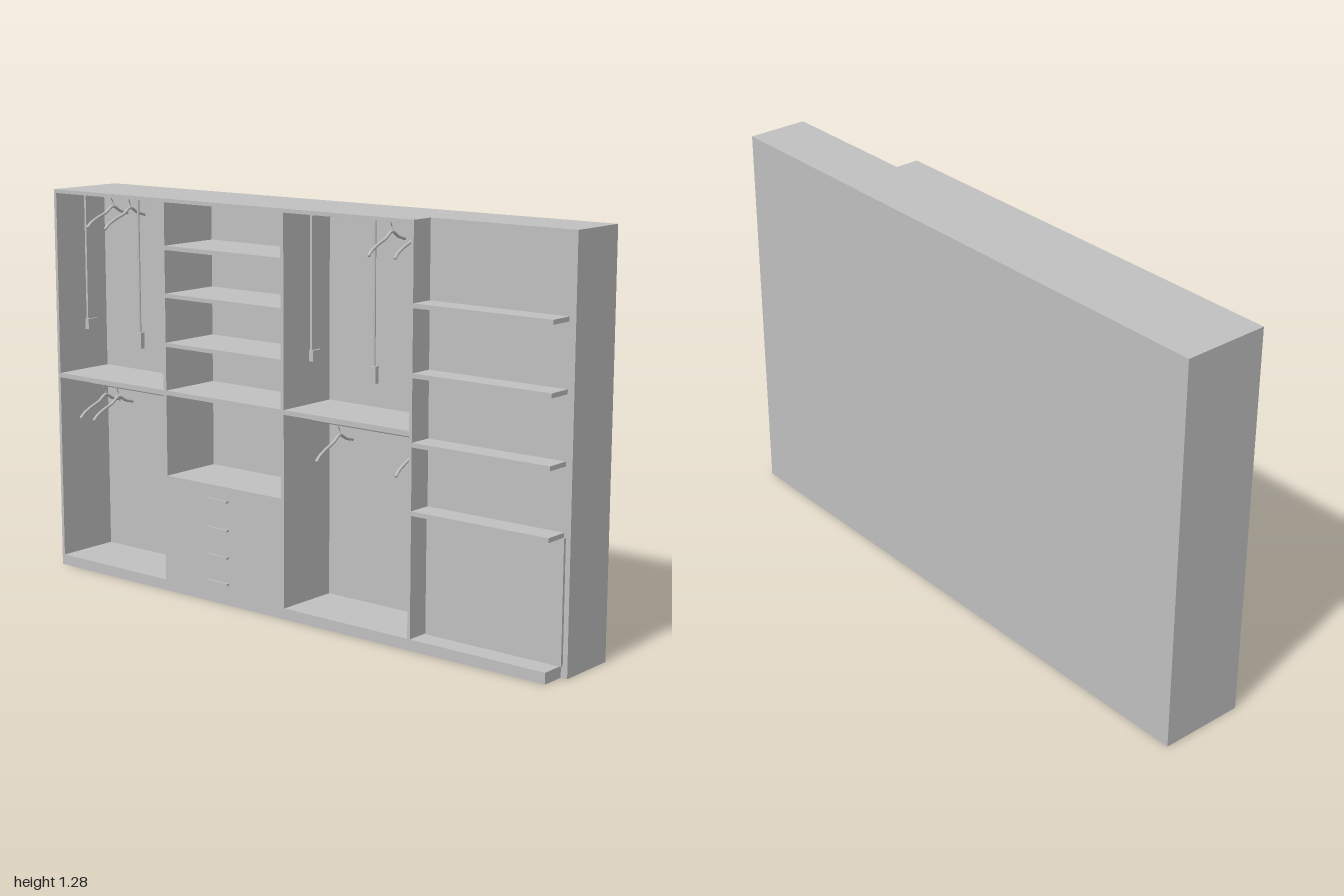
import * as THREE from 'three';

export function createModel() {
  const root = new THREE.Group();
  root.name = 'wardrobe';
  const grey = new THREE.MeshStandardMaterial({ color: 0xc0c0c0 });
  grey.name = 'light grey';

  const H = 1.28, BACK = -0.143, INNER = -0.08, FRONT = 0.14;

  function add(name, geometry, parent = root) {
    const mesh = new THREE.Mesh(geometry, grey);
    mesh.name = name;
    parent.add(mesh);
    return mesh;
  }
  // Box from its limits on each axis
  function box(name, x0, x1, y0, y1, z0, z1, parent = root) {
    const mesh = add(name, new THREE.BoxGeometry(x1 - x0, y1 - y0, z1 - z0), parent);
    mesh.position.set((x0 + x1) / 2, (y0 + y1) / 2, (z0 + z1) / 2);
    return mesh;
  }
  // Horizontal or vertical round bar between two points
  function bar(name, a, b, r, parent = root) {
    return add(name, new THREE.TubeGeometry(
      new THREE.LineCurve3(new THREE.Vector3(...a), new THREE.Vector3(...b)), 1, r, 8), parent);
  }

  // Carcass: one frame with rectangular openings, closed by a back slab
  const frame = new THREE.Shape([
    new THREE.Vector2(-0.989, 0), new THREE.Vector2(0.501, 0),
    new THREE.Vector2(0.501, H), new THREE.Vector2(-0.989, H)]);
  function opening(x0, x1, y0, y1) {
    frame.holes.push(new THREE.Path([
      new THREE.Vector2(x0, y0), new THREE.Vector2(x0, y1),
      new THREE.Vector2(x1, y1), new THREE.Vector2(x1, y0)]));
  }
  const hangingBays = [[-0.978, -0.499], [0.01, 0.491]];
  for (const [x0, x1] of hangingBays) {
    opening(x0, x1, 0.035, 0.65);
    opening(x0, x1, 0.665, 1.268);
  }
  for (const [y0, y1] of [[0.385, 0.65], [0.665, 0.807], [0.82, 0.965], [0.978, 1.117], [1.131, 1.268]]) {
    opening(-0.486, -0.002, y0, y1);
  }
  add('carcassFrame', new THREE.ExtrudeGeometry(frame, { depth: FRONT - INNER, bevelEnabled: false }))
    .position.z = INNER;
  box('carcassBack', -0.989, 0.501, 0, H, BACK, INNER);

  // Shallow end section with open shelves
  box('endSection', 0.501, 1.002, 0, H, BACK, 0.06);
  for (const [y0, y1] of [[0, 0.035], [0.412, 0.426], [0.617, 0.631], [0.822, 0.836], [1.026, 1.04]]) {
    box('endShelf', 0.501, 0.98, y0, y1, 0.06, FRONT);
  }
  box('endPanel', 0.505, 0.986, 0.035, 0.412, 0.06, 0.069);

  // Drawer handles
  for (const y of [0.07, 0.157, 0.246, 0.34]) {
    const handle = new THREE.Group();
    handle.name = 'drawerHandle';
    box('handleBar', -0.305, -0.218, y - 0.004, y + 0.004, 0.148, 0.154, handle);
    for (const x of [-0.299, -0.224]) {
      box('handlePost', x - 0.004, x + 0.004, y - 0.003, y + 0.003, FRONT, 0.148, handle);
    }
    root.add(handle);
  }

  // Rails and pull-down lift in each hanging bay
  for (const [x0, x1] of hangingBays) {
    const mid = (x0 + x1) / 2;
    bar('upperRail', [x0, 1.256, 0], [x1, 1.256, 0], 0.007);
    bar('lowerRail', [x0, 0.614, 0], [x1, 0.614, 0], 0.006);
    bar('liftPole', [mid, 0.8, 0], [mid, 1.25, 0], 0.004);
    box('liftGrip', mid - 0.011, mid + 0.011, 0.757, 0.81, -0.008, 0.008);
    for (const [wall, dir] of [[x0, 1], [x1, -1]]) {
      const span = (w) => (dir > 0 ? [wall, wall + w] : [wall - w, wall]);
      box('liftArm', ...span(0.008), 0.83, 1.25, -0.014, 0.014);
      box('liftArmFoot', ...span(0.016), 0.8, 0.835, -0.02, 0.02);
    }
  }

  // Hangers: hook over the rail and two drooping arms
  const hook = new THREE.CatmullRomCurve3([
    [-0.012, -0.006], [-0.01, 0.006], [0, 0.01], [0.009, 0.004], [0.008, -0.008], [0, -0.02], [0, -0.036],
  ].map(([z, y]) => new THREE.Vector3(0, y, z)));
  const arms = new THREE.CatmullRomCurve3([
    [-0.142, -0.09], [-0.128, -0.08], [-0.085, -0.064], [-0.04, -0.052], [0, -0.034],
    [0.04, -0.052], [0.085, -0.064], [0.128, -0.08], [0.142, -0.09],
  ].map(([z, y]) => new THREE.Vector3(0, y, z)));
  const hookGeometry = new THREE.TubeGeometry(hook, 20, 0.002, 6);
  const armGeometry = new THREE.TubeGeometry(arms, 28, 0.005, 8);
  const tipGeometry = new THREE.SphereGeometry(0.006, 8, 6);
  const hangers = [
    [-0.856, 1.256], [-0.775, 1.256], [0.314, 1.256], [0.41, 1.256],
    [-0.908, 0.614], [-0.846, 0.614], [0.117, 0.614], [0.42, 0.614]];
  for (const [x, y] of hangers) {
    const hanger = new THREE.Group();
    hanger.name = 'hanger';
    add('hangerHook', hookGeometry, hanger);
    add('hangerArms', armGeometry, hanger);
    for (const side of [-1, 1]) {
      add('hangerTip', tipGeometry, hanger).position.set(0, -0.09, side * 0.142);
    }
    hanger.position.set(x, y, 0);
    hanger.rotation.y = 0.16;
    // Keep the arms clear of the back wall
    hanger.scale.z = 0.97;
    hanger.children.forEach((part) => { part.position.z += 0.0; });
    root.add(hanger);
  }

  // The whole unit stands slightly turned
  root.rotation.y = 0.159;
  const model = new THREE.Group();
  model.name = 'wardrobeModel';
  model.add(root);
  return model;
}
